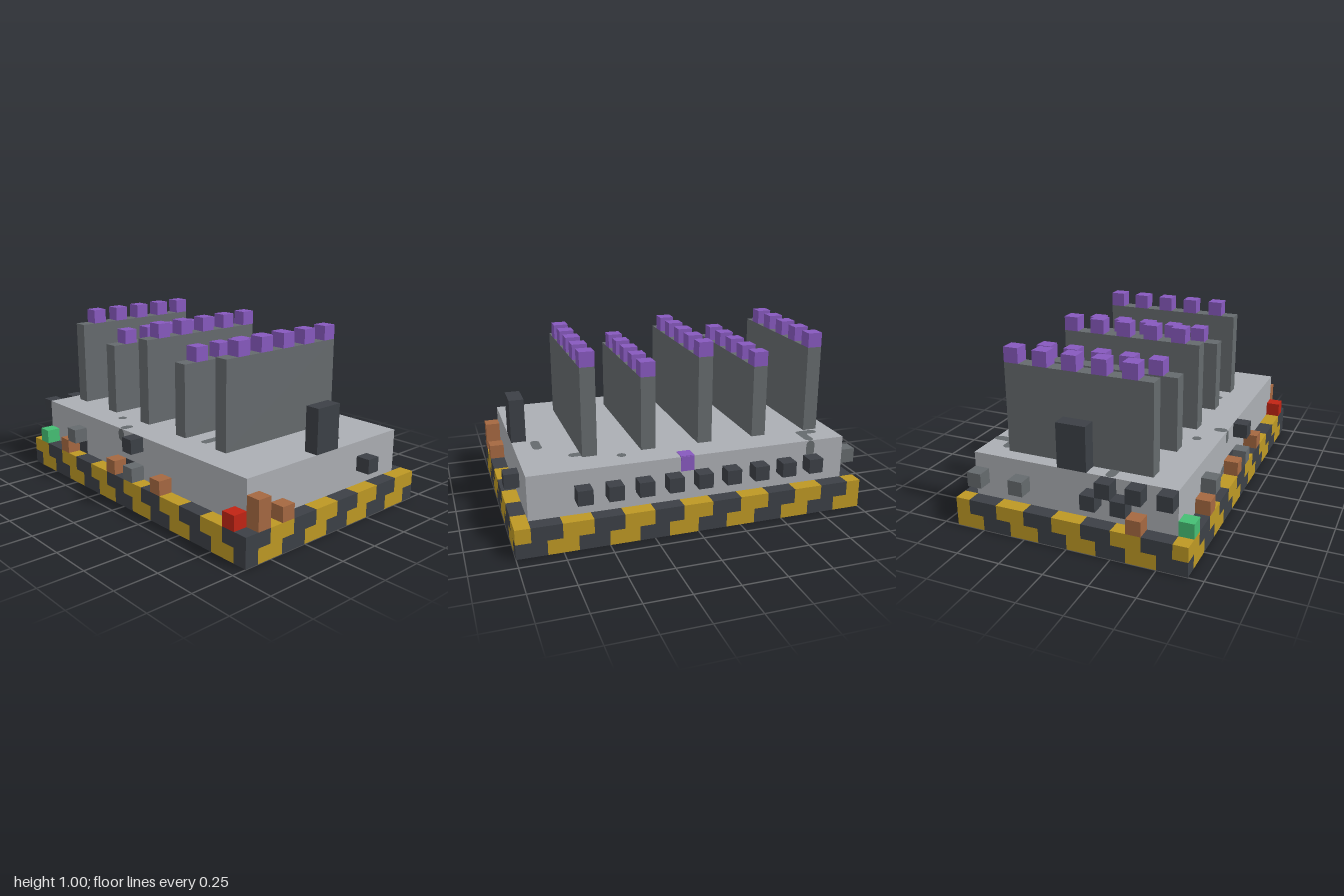
import * as THREE from 'three';
import { mergeGeometries } from 'three/addons/utils/BufferGeometryUtils.js';

// One block of the building grid: 24 wide, 12 high, 16 deep
const U = 1 / 12;

const paint = (name, color) => {
  const m = new THREE.MeshStandardMaterial({ color });
  m.name = name;
  return m;
};

// Box measured in blocks from its low corner
function block(x, y, z, w = 1, h = 1, d = 1) {
  return new THREE.BoxGeometry(w * U, h * U, d * U)
    .translate((x + w / 2 - 12) * U, (y + h / 2) * U, (z + d / 2 - 8) * U);
}

// Flat rounded patch along a line, in the XY plane
function stadium(x1, y1, x2, y2, r = 0.026) {
  const a = Math.atan2(y2 - y1, x2 - x1);
  const s = new THREE.Shape();
  s.absarc(x2, y2, r, a - Math.PI / 2, a + Math.PI / 2, false);
  s.absarc(x1, y1, r, a + Math.PI / 2, a + Math.PI * 1.5, false);
  return new THREE.ShapeGeometry(s, 6);
}

export function createModel() {
  const dark = paint('charcoal', 0x3c4046);
  const yellow = paint('hazardYellow', 0xbd9824);
  const light = paint('lightGrey', 0xabaeb3);
  const grey = paint('midGrey', 0x656a6d);
  const purple = paint('purple', 0x8759be);
  const brown = paint('copper', 0xa56841);
  const red = paint('red', 0xc02414);
  const green = paint('green', 0x45be74);

  const model = new THREE.Group();
  const add = (name, geos, material) => {
    const mesh = new THREE.Mesh(mergeGeometries(geos), material);
    mesh.name = name;
    model.add(mesh);
  };

  // Base plate with stepped diagonal hazard stripes, built in runs along x
  const stripes = [[], []];
  const tone = (x, y, z) => ((x + y + z) % 4 < 2 ? 0 : 1);
  for (let y = 0; y < 2; y++) {
    for (let z = 0; z < 16; z++) {
      for (let x = 0; x < 24;) {
        const t = tone(x, y, z);
        let end = x + 1;
        while (end < 24 && tone(end, y, z) === t) end++;
        stripes[t].push(block(x, y, z, end - x));
        x = end;
      }
    }
  }
  add('baseYellowStripes', stripes[0], yellow);
  add('baseDarkStripes', stripes[1], dark);

  // Main body slab
  add('body', [block(1, 2, 1, 22, 3, 14)], light);

  // Tall fins, alternating in height, with five caps each
  const fins = [], caps = [];
  [2, 6, 10, 14, 18].forEach((x, i) => {
    const top = i % 2 ? 10 : 11;
    fins.push(block(x, 5, 3, 1, top - 5, 10));
    for (let z = 3; z < 13; z += 2) caps.push(block(x, top, z));
  });
  add('fins', fins, grey);
  add('finCaps', caps, purple);

  // Upright plates at both ends
  add('endPlates', [block(1, 5, 7, 1, 3, 2), block(22, 5, 7, 1, 3, 2)], dark);

  // Row of studs along the back
  const studs = [];
  for (let x = 3; x < 20; x += 2) studs.push(block(x, 3, 0));
  add('backStuds', studs, dark);

  // Single blocks around the sides
  const place = list => list.map(p => block(...p));
  add('darkSideBlocks', place([
    [23, 3, 4], [12, 4, 15],
    [0, 3, 9], [0, 4, 10], [0, 3, 11], [0, 4, 12], [0, 4, 14],
  ]), dark);
  add('greySideBlocks', place([[5, 3, 15], [12, 2, 15], [0, 3, 1], [0, 3, 4]]), grey);
  add('copperBlocks', place([
    [4, 2, 15], [10, 2, 15], [15, 2, 15], [0, 2, 12], [23, 2, 12], [23, 2, 14, 1, 2, 1],
  ]), brown);
  add('redLamp', [block(22, 2, 15)], red);
  add('greenLamp', [block(1, 2, 15)], green);

  // Rounded wear patches on the top: start x, z and end x, z in blocks
  const topY = 5 * U + 0.002;
  const topPatches = [
    [3.5, 1.3, 3.5, 2.4], [2.6, 2.5, 3.5, 2.5], [16.5, 2.5, 16.5, 2.5],
    [19.1, 3.5, 19.5, 3.5], [21.5, 5.5, 21.5, 6.5], [5.5, 7.5, 5.9, 7.5],
    [13.5, 7.5, 13.9, 7.5], [3.1, 9.5, 3.5, 9.5], [17.5, 9.5, 17.9, 9.5],
    [1.3, 10.5, 2.0, 10.5], [7.1, 10.5, 7.5, 10.5], [12.5, 11.5, 12.5, 11.5],
    [16.5, 11.5, 16.5, 12.5], [8.5, 13.5, 8.5, 13.5], [10.5, 14.4, 10.5, 14.69],
  ].map(([x1, z1, x2, z2]) =>
    stadium((x1 - 12) * U, (8 - z1) * U, (x2 - 12) * U, (8 - z2) * U)
      .rotateX(-Math.PI / 2).translate(0, topY, 0));
  add('topPatches', topPatches, grey);

  // Wear patches on the front and back faces
  const frontZ = 7 * U + 0.002;
  add('wallPatches', [
    stadium(-1.5 * U, 4.45 * U, -1.5 * U, 4.69 * U).translate(0, 0, frontZ),
    stadium(-2.5 * U, 2.31 * U, -2.3 * U, 2.4 * U).translate(0, 0, frontZ),
    stadium(8.5 * U, 4.2 * U, 8.5 * U, 4.69 * U).rotateY(Math.PI).translate(0, 0, -frontZ),
  ], grey);
  const thin = 0.05;
  add('frontVents', [block(5, 2, 15, 1, 1, thin), block(11, 2, 15, 1, 1, thin)], dark);

  // Purple marker wrapping the back top edge
  add('backMarker', [
    block(12, 5, 1, 0.92, thin, 0.9), block(12, 4, 1 - thin, 0.92, 1, thin),
  ], purple);

  return model;
}
